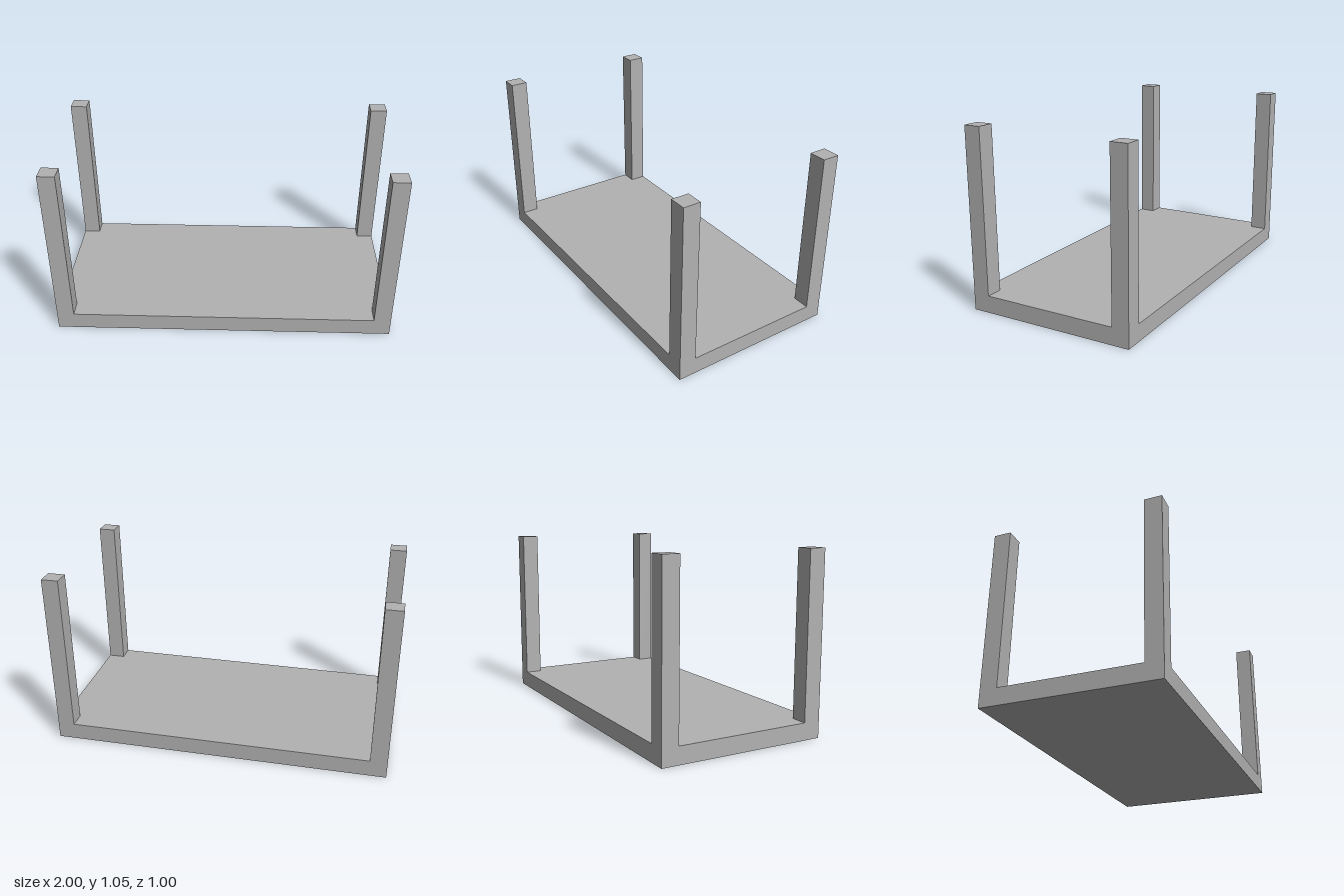
import * as THREE from 'three';

export function createModel() {
  const model = new THREE.Group();
  model.name = 'upturnedTable';

  const grey = new THREE.MeshStandardMaterial({ color: 0xb2b2b2 });
  grey.name = 'plain grey';

  const length = 2, depth = 1, thickness = 0.1, legWidth = 0.1, legHeight = 0.95;

  // Slab lying on the ground
  const slab = new THREE.Mesh(new THREE.BoxGeometry(length, thickness, depth), grey);
  slab.name = 'tabletop';
  slab.position.y = thickness / 2;
  model.add(slab);

  // Square legs, flush with the slab's corners
  const legGeometry = new THREE.BoxGeometry(legWidth, legHeight, legWidth);
  for (const [side, sx] of [['Left', 1], ['Right', -1]]) {
    for (const [end, sz] of [['front', 1], ['back', -1]]) {
      const leg = new THREE.Mesh(legGeometry, grey);
      leg.name = `${end}${side}Leg`;
      leg.position.set(
        sx * (length - legWidth) / 2,
        thickness + legHeight / 2,
        sz * (depth - legWidth) / 2
      );
      model.add(leg);
    }
  }

  return model;
}
